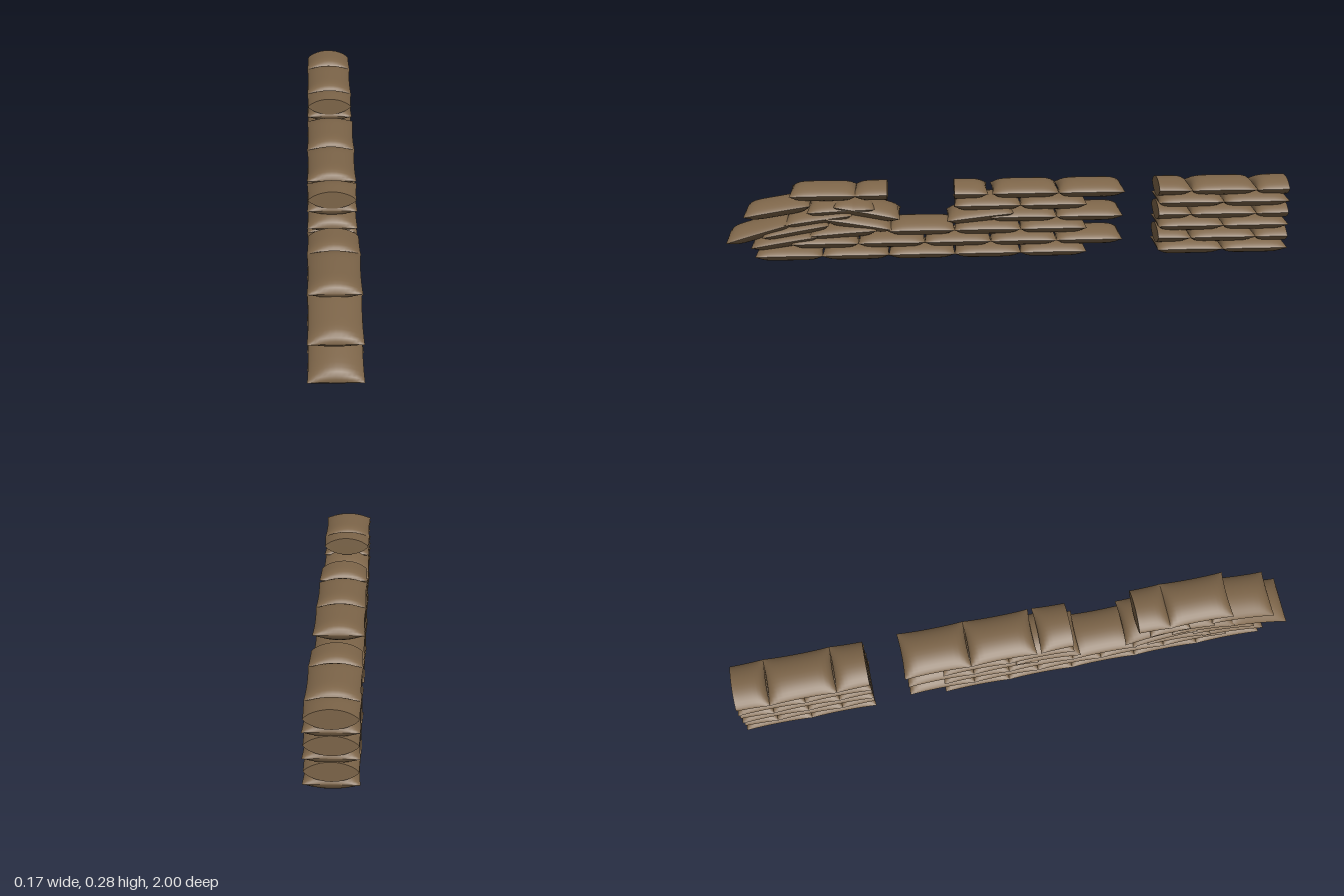
import * as THREE from 'three';
import { mergeGeometries } from 'three/addons/utils/BufferGeometryUtils.js';

const HALF_W = 0.087, HALF_L = 0.119, HALF_T = 0.033;
const PITCH = 0.234;
const rowY = (row) => 0.033 + row * 0.0434;

// Half thickness of a filled bag at (u, v), both in -1..1
const puff = (u, v) =>
  HALF_T * Math.pow(Math.max(0, 1 - u * u), 0.75) * Math.pow(Math.max(0, 1 - v ** 6), 0.6);

// One face of the pillow, bulging up (side 1) or down (side -1)
function bagFace(side, half) {
  const g = new THREE.PlaneGeometry(2, 2, 16, half ? 10 : 16);
  g.rotateX(-side * Math.PI / 2);
  const p = g.attributes.position;
  for (let i = 0; i < p.count; i++) {
    const u = Math.sin(p.getX(i) * Math.PI / 2);
    const a = half ? (p.getZ(i) + 1) / 2 : p.getZ(i);
    const v = Math.sin(a * Math.PI / 2);
    p.setXYZ(i,
      HALF_W * u * (1 - 0.045 * (1 - v * v)),
      side * puff(u, v),
      HALF_L * v * (1 - 0.035 * (1 - u * u)));
  }
  g.computeVertexNormals();
  return g;
}

// Flat lens closing the cut end of a half bag
function cutFace() {
  const pts = [];
  for (let i = 0; i < 32; i++) {
    const a = i / 32 * Math.PI * 2, u = Math.cos(a);
    pts.push(new THREE.Vector2(HALF_W * 0.955 * u, Math.sign(Math.sin(a)) * puff(u, 0)));
  }
  return new THREE.ShapeGeometry(new THREE.Shape(pts)).rotateY(Math.PI);
}

export function createModel() {
  const model = new THREE.Group();
  model.name = 'sandbagWall';
  const burlap = new THREE.MeshStandardMaterial({ color: 0x7d6549 });
  burlap.name = 'burlap';

  const fullBag = mergeGeometries([bagFace(1, false), bagFace(-1, false)]);
  const halfBag = mergeGeometries([bagFace(1, true), bagFace(-1, true), cutFace()]);

  const section = (name) => {
    const g = new THREE.Group();
    g.name = name;
    model.add(g);
    return g;
  };
  const add = (parent, geometry, name, y, z) => {
    const m = new THREE.Mesh(geometry, burlap);
    m.name = name;
    m.position.set(0, y, z);
    parent.add(m);
    return m;
  };
  // Level run of whole bags, starting at centre z and going forward
  const course = (parent, row, z, count) => {
    for (let i = 0; i < count; i++) add(parent, fullBag, 'sandbag', rowY(row), z + i * PITCH);
  };
  // Half bag cut at z, reaching forward (1) or backward (-1)
  const half = (parent, row, z, dir) => {
    const m = add(parent, halfBag, 'halfSandbag', rowY(row), z);
    if (dir < 0) m.rotation.y = Math.PI;
  };
  // Slumped bag: front end (z1, y1), back end (z2, y2)
  const slumped = (parent, z1, y1, z2, y2) => {
    const m = add(parent, fullBag, 'slumpedSandbag', (y1 + y2) / 2, (z1 + z2) / 2);
    m.rotation.x = Math.atan2(y2 - y1, z1 - z2);
  };

  // Rear block: whole courses alternate with courses ending in cut halves
  const rear = section('rearBlock');
  for (let row = 0; row < 6; row += 2) {
    course(rear, row, -0.883, 2);
    half(rear, row + 1, -1, 1);
    course(rear, row + 1, -0.766, 1);
    half(rear, row + 1, -0.532, -1);
  }

  // Long base courses shared by the middle and front
  const base = section('baseCourses');
  course(base, 0, -0.155, 5);
  course(base, 1, -0.283, 5);
  course(base, 2, -0.155, 3);

  // Middle block
  const middle = section('middleBlock');
  course(middle, 3, -0.283, 2);
  slumped(middle, 0.22, 0.153, -0.01, 0.178);
  course(middle, 4, -0.155, 2);
  course(middle, 5, -0.29, 2);
  half(middle, 5, 0.195, -1);

  // Collapsing front end
  const front = section('slumpedFrontEnd');
  slumped(front, 0.91, 0.066, 0.68, 0.102);
  slumped(front, 0.71, 0.105, 0.47, 0.122);
  slumped(front, 0.87, 0.103, 0.64, 0.143);
  slumped(front, 0.998, 0.085, 0.77, 0.15);
  slumped(front, 0.79, 0.148, 0.56, 0.178);
  slumped(front, 0.65, 0.165, 0.42, 0.125);
  slumped(front, 0.935, 0.178, 0.7, 0.216);
  slumped(front, 0.71, 0.19, 0.48, 0.2);
  slumped(front, 0.62, 0.21, 0.388, 0.163);
  course(front, 5, 0.655, 1);
  half(front, 5, 0.432, 1);

  return model;
}
